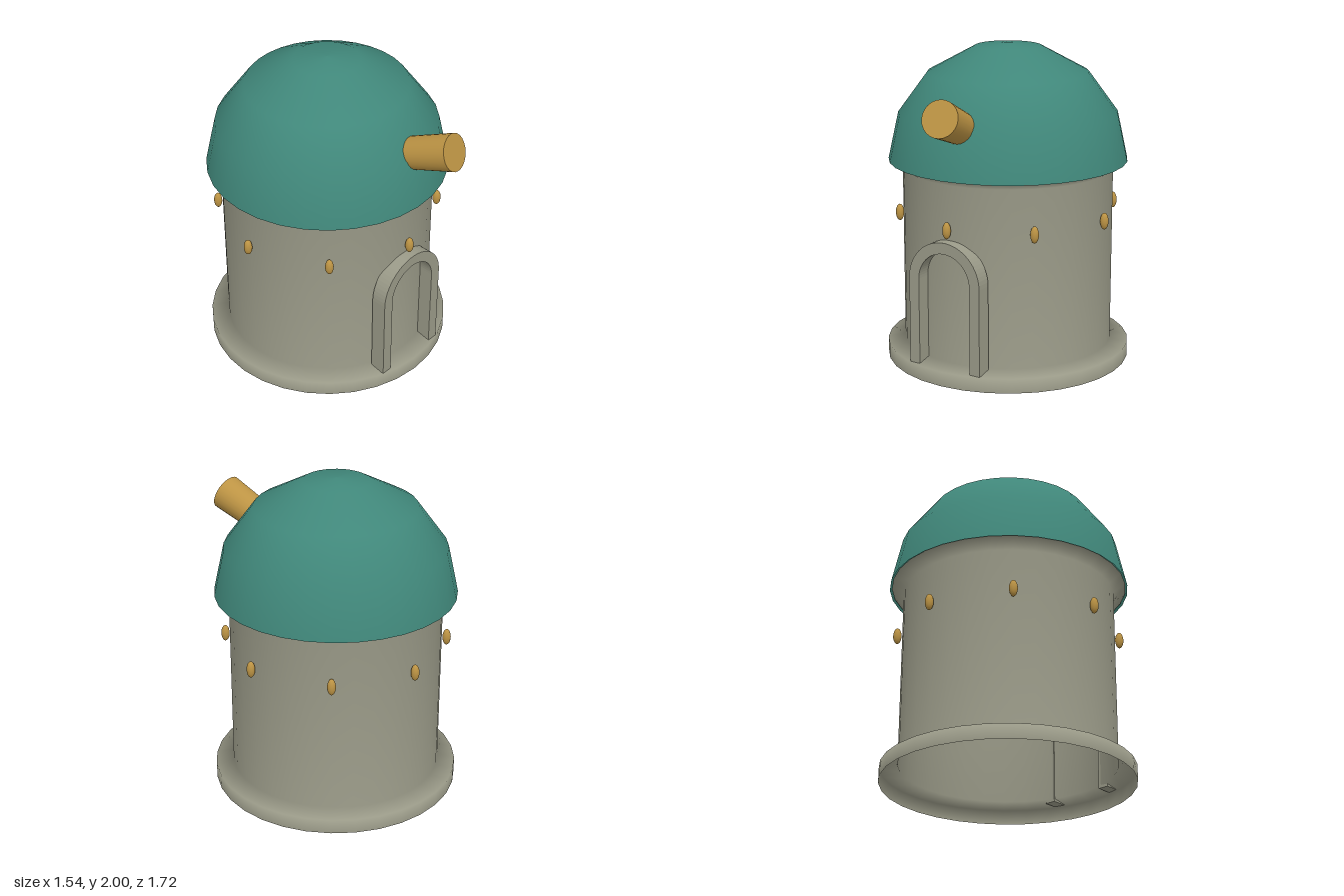
import * as THREE from 'three';

const mat = (name, color, side = THREE.FrontSide) => {
  const m = new THREE.MeshStandardMaterial({ color, side });
  m.name = name;
  return m;
};

export function createModel() {
  const stone = mat('stone', 0x9a9a88, THREE.DoubleSide);
  const teal = mat('teal roof', 0x40877a, THREE.DoubleSide);
  const brass = mat('brass', 0xbd9444);

  const model = new THREE.Group();
  model.name = 'observatory';
  // everything but the telescope is centred on the tower axis
  const tower = new THREE.Group();
  tower.name = 'tower';
  tower.position.z = -0.086;
  model.add(tower);

  const add = (parent, name, geometry, material) => {
    const mesh = new THREE.Mesh(geometry, material);
    mesh.name = name;
    parent.add(mesh);
    return mesh;
  };
  const lathe = (pts) => new THREE.LatheGeometry(pts.map(([x, y]) => new THREE.Vector2(x, y)), 32);

  // hollow wall with a plinth and a flared top
  add(tower, 'wall', lathe([[0.77, 0], [0.77, 0.092], [0.66, 0.115], [0.66, 1.23], [0.735, 1.285]]), stone);

  // faceted-profile dome
  add(tower, 'dome', lathe([[0.748, 1.275], [0.683, 1.57], [0.5, 1.82], [0.205, 1.98], [0, 2]]), teal);

  // door surround
  const arch = new THREE.Shape();
  arch.moveTo(0.252, 0.095);
  arch.lineTo(0.252, 0.64);
  arch.absarc(0, 0.64, 0.252, 0, Math.PI, false);
  arch.lineTo(-0.252, 0.095);
  arch.lineTo(-0.182, 0.095);
  arch.lineTo(-0.182, 0.64);
  arch.absarc(0, 0.64, 0.182, Math.PI, 0, true);
  arch.lineTo(0.182, 0.095);
  const archGeometry = new THREE.ExtrudeGeometry(arch, { depth: 0.1, bevelEnabled: false, curveSegments: 16 });
  add(model, 'doorArch', archGeometry, stone).position.z = 0.54;

  // ring of eight oval lamps
  const lamp = new THREE.SphereGeometry(1, 16, 12);
  for (let i = 0; i < 8; i++) {
    const a = (i * Math.PI) / 4;
    const mesh = add(tower, 'lamp', lamp, brass);
    mesh.position.set(Math.sin(a) * 0.69, 0.96, Math.cos(a) * 0.69);
    mesh.scale.set(0.026, 0.052, 0.026);
  }

  // telescope, slightly wider at its outer end
  const length = 0.5;
  const direction = new THREE.Vector3(0.18, 0.385, 1).normalize();
  const telescope = add(model, 'telescope', new THREE.CylinderGeometry(0.113, 0.09, length, 24), brass);
  telescope.quaternion.setFromUnitVectors(new THREE.Vector3(0, 1, 0), direction);
  telescope.position.set(0.111, 1.685, 0.823).addScaledVector(direction, -length / 2);

  return model;
}
